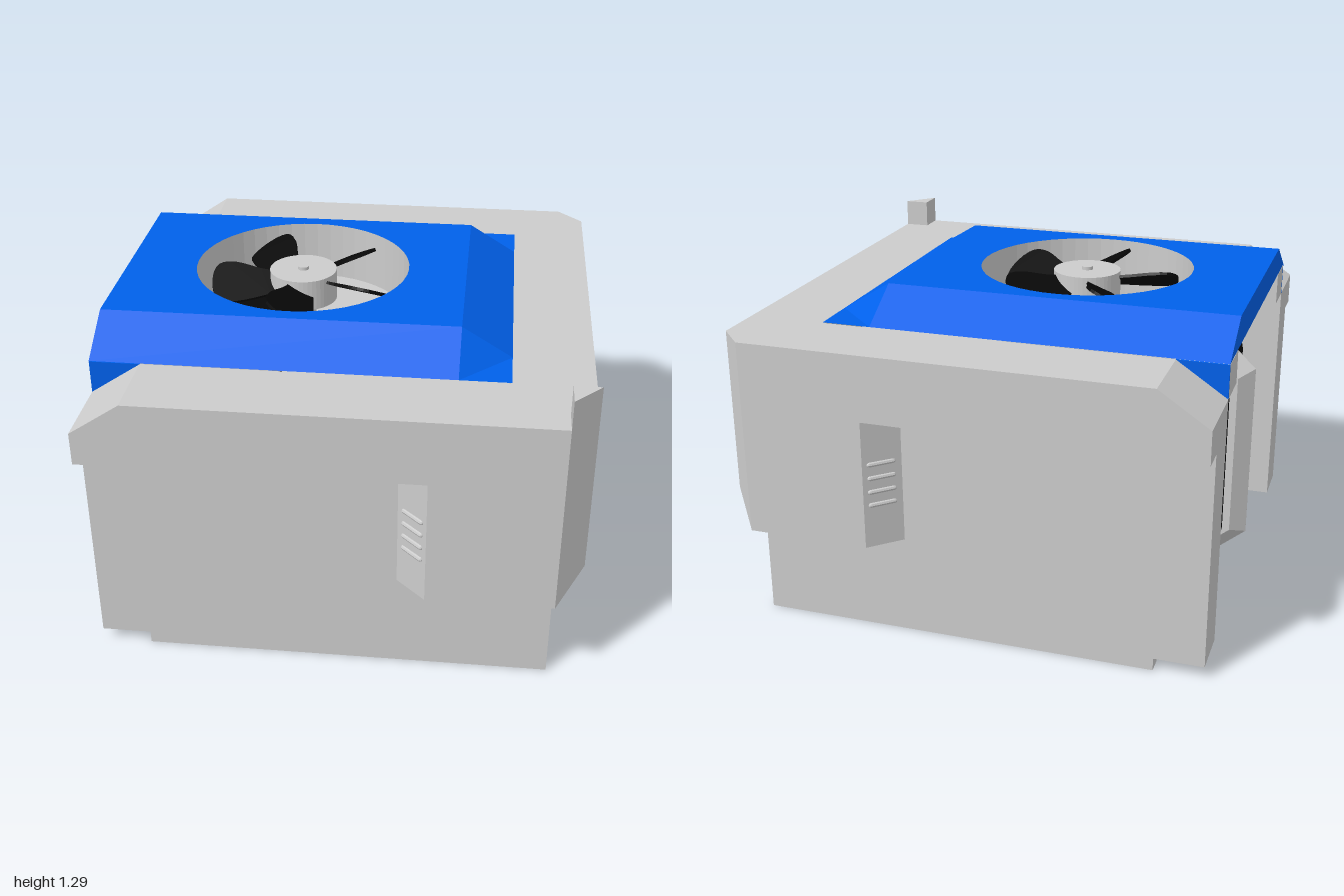
import * as THREE from 'three';

const material = (color) => new THREE.MeshStandardMaterial({ color, flatShading: true, side: THREE.DoubleSide });
const grey = material(0xcccccc), darkGrey = material(0x4c4c4c);
const blue = material(0x0060ea), black = material(0x080808);

const toShape = (pts) => new THREE.Shape(pts.map(([a, b]) => new THREE.Vector2(a, b)));

export function createModel() {
  const model = new THREE.Group();

  function add(name, geometry, mat = grey, parent = model) {
    const mesh = new THREE.Mesh(geometry, mat);
    mesh.name = name;
    parent.add(mesh);
    return mesh;
  }
  // Side profile (x, y) swept from z0 to z1
  function sideways(pts, z0, z1) {
    return new THREE.ExtrudeGeometry(toShape(pts), { depth: z1 - z0, bevelEnabled: false }).translate(0, 0, z0);
  }
  // Plan outline (x, z) swept from y0 to y1
  function upright(pts, y0, y1) {
    const shape = toShape(pts.map(([x, z]) => [x, -z]));
    return new THREE.ExtrudeGeometry(shape, { depth: y1 - y0, bevelEnabled: false })
      .rotateX(-Math.PI / 2).translate(0, y0, 0);
  }
  function block(x0, x1, y0, y1, z0, z1) {
    return new THREE.BoxGeometry(x1 - x0, y1 - y0, z1 - z0)
      .translate((x0 + x1) / 2, (y0 + y1) / 2, (z0 + z1) / 2);
  }
  // Same sweep on one side of the centre plane
  const sideSweep = (pts, s, a, b) => sideways(pts, Math.min(s * a, s * b), Math.max(s * a, s * b));

  // Lower body, with an undercut for the intake
  add('core', sideways([[-0.35, 0], [0.645, 0], [0.641, 0.012], [0.8, 0.13], [0.835, 0.13], [0.835, 0.91],
    [-0.35, 0.91]], -0.5, 0.5));
  add('ductFloor', block(-0.25, 0.64, 0.91, 1.05, -0.69, 0.69));

  // Sloped intake plate with five slots
  const plate = toShape([[-0.5, 0], [0.5, 0], [0.5, 0.222], [-0.5, 0.222]]);
  for (let i = -2; i <= 2; i++) {
    const c = i * 0.2;
    plate.holes.push(toShape([[c - 0.067, 0.035], [c - 0.067, 0.19], [c + 0.067, 0.19], [c + 0.067, 0.035]]));
  }
  const normal = new THREE.Vector3(0.585, -0.811, 0);
  const basis = new THREE.Matrix4().makeBasis(
    new THREE.Vector3(0, 0, -1), new THREE.Vector3(0.811, 0.585, 0), normal);
  add('intakePlate', new THREE.ExtrudeGeometry(plate, { depth: 0.015, bevelEnabled: false })
    .applyMatrix4(basis).translate(0.65 - normal.x * 0.015, -normal.y * 0.015, 0));

  for (const s of [1, -1]) {
    // Flared cheeks beside the intake
    add('intakeCheek', upright([[-0.35, s * 0.5], [0.65, s * 0.5], [0.83, s * 0.69], [-0.35, s * 0.69]], 0, 0.13));
    add('bodyFlank', block(-0.35, 0.835, 0.13, 0.91, s * 0.595 - 0.095, s * 0.595 + 0.095));

    // Long walls with a notch under the open end
    add('sideWall', sideSweep([[-0.945, 0.05], [-0.75, 0.05], [-0.75, 0], [0.835, 0], [0.835, 0.92],
      [-0.945, 0.92]], s, 0.69, 0.89));

    // Deck rails with a sloped end, and the brackets carrying the cover
    add('deckRail', sideSweep([[-0.945, 0.91], [0.84, 0.91], [0.84, 1.17], [-0.75, 1.17], [-0.945, 1.04]],
      s, 0.69, 1));
    add('coverBracket', sideSweep([[-0.945, 1.04], [-0.25, 1.04], [-0.25, 1.17], [-0.945, 1.17]], s, 0.52, 0.685));
    add('coverSkirt', sideSweep([[-0.945, 1.04], [-0.75, 1.17], [-0.945, 1.17]], s, 0.68, 0.692), blue);

    // Side panel with a slanted vented edge
    add('sidePanel', upright([[0.24, s * 0.89], [0.353, s], [0.84, s], [0.84, s * 0.89]], 0.395, 0.911));
    for (const y of [0.568, 0.622, 0.678, 0.734]) {
      const slot = add('ventSlot', new THREE.CapsuleGeometry(0.01, 0.095, 3, 8).rotateZ(Math.PI / 2));
      slot.position.set(0.299, y, s * 0.946);
      slot.rotation.y = -s * Math.PI / 4;
    }

    // Chamfered corner, its lower outer corner cut upward
    const corner = upright([[0.84, s * 0.89], [0.943, s * 0.89], [0.84, s]], 0.395, s > 0 ? 1.285 : 1.17);
    const p = corner.attributes.position;
    for (let i = 0; i < p.count; i++) if (p.getX(i) > 0.93 && p.getY(i) < 0.4) p.setY(i, 0.52);
    corner.computeVertexNormals();
    add(s > 0 ? 'cornerPost' : 'corner', corner);

    // Dark end panels, undercut at the base
    add('endPanel', sideSweep([[0.82, 0.39], [0.84, 0.39], [0.94, 0.52], [0.94, 0.912], [0.82, 0.912]],
      s, 0.1, 0.89), darkGrey);

    // Blunt wedge-shaped dark blocks inside the open end
    const wedge = toShape([[-0.82, -s * 0.105], [-0.82, -s * 0.21], [-0.42, -s * 0.53], [-0.28, -s * 0.53],
      [-0.28, -s * 0.105]]);
    add('innerBlock', new THREE.ExtrudeGeometry(wedge, {
      depth: 0.7, bevelThickness: 0.05, bevelSize: 0.035, bevelSegments: 3,
    }).rotateX(-Math.PI / 2).translate(0, 0.22, 0), black);
  }

  // Closed end of the deck and the centre channel between the dark panels
  add('deckEnd', block(0.63, 0.943, 0.91, 1.17, -0.89, 0.89));
  add('centreChannel', sideways([[0.82, 0.46], [0.84, 0.46], [0.885, 0.53], [0.885, 0.912], [0.82, 0.912]], -0.1, 0.1));

  // Centre rib with a ridged rim
  add('centreRib', new THREE.ExtrudeGeometry(
    toShape([[-0.885, 0.21], [-0.8, 0.14], [-0.3, 0.14], [-0.3, 0.97], [-0.8, 0.97], [-0.885, 0.89]]),
    { depth: 0.002, bevelThickness: 0.068, bevelSize: 0.06, bevelSegments: 1 }));

  // Bevelled cover with a round opening
  const cx = -0.23, radius = 0.435;
  function holedSheet(x1, z, y) {
    const sheet = toShape([[-0.945, -z], [x1, -z], [x1, z], [-0.945, z]]);
    sheet.holes.push(new THREE.Path().absarc(cx, 0, radius, 0, Math.PI * 2, true));
    return new THREE.ShapeGeometry(sheet, 24).rotateX(-Math.PI / 2).translate(0, y, 0);
  }
  add('coverTop', holedSheet(0.44, 0.495, 1.292), blue);
  add('coverUnderside', holedSheet(0.635, 0.692, 1.173), blue);
  // Sloped sides, with a diagonal facet at each closed corner
  const low = [[-0.945, 0.692], [0.44, 0.692], [0.635, 0.495], [0.635, -0.495], [0.44, -0.692], [-0.945, -0.692]];
  const high = [[-0.945, 0.495], [0.44, 0.495], [0.44, 0.495], [0.44, -0.495], [0.44, -0.495], [-0.945, -0.495]];
  const faces = [];
  for (let i = 0; i < low.length; i++) {
    const j = (i + 1) % low.length;
    const a = [low[i][0], 1.173, low[i][1]], b = [low[j][0], 1.173, low[j][1]];
    const c = [high[j][0], 1.292, high[j][1]], d = [high[i][0], 1.292, high[i][1]];
    faces.push(...a, ...b, ...c);
    if (high[i] !== high[j] && (c[0] !== d[0] || c[2] !== d[2])) faces.push(...a, ...c, ...d);
  }
  const bevels = new THREE.BufferGeometry();
  bevels.setAttribute('position', new THREE.Float32BufferAttribute(faces, 3));
  bevels.computeVertexNormals();
  add('coverBevels', bevels, blue);

  // Fan in its duct
  const fan = new THREE.Group();
  fan.name = 'fan';
  fan.position.set(cx, 0, 0);
  model.add(fan);
  const drum = (r, y0, y1, open = false) =>
    new THREE.CylinderGeometry(r, r, y1 - y0, 48, 1, open).translate(0, (y0 + y1) / 2, 0);
  add('duct', drum(radius, 1.04, 1.292, true), grey, fan);
  add('hub', drum(0.137, 1.15, 1.275), grey, fan);
  add('axle', drum(0.05, 1.04, 1.16), grey, fan);
  add('hubCap', drum(0.023, 1.27, 1.288), grey, fan);
  const blade = new THREE.Shape();
  blade.moveTo(0.11, -0.05);
  blade.bezierCurveTo(0.2, -0.06, 0.24, -0.12, 0.32, -0.11);
  blade.bezierCurveTo(0.38, -0.1, 0.39, 0.04, 0.36, 0.08);
  blade.bezierCurveTo(0.32, 0.11, 0.2, 0.08, 0.11, 0.06);
  for (let i = 0; i < 5; i++) {
    const mesh = add('blade', new THREE.ExtrudeGeometry(blade, { depth: 0.012, bevelEnabled: false, curveSegments: 8 })
      .rotateX(-Math.PI / 2 - 0.5), black, fan);
    mesh.position.y = 1.225;
    mesh.rotation.y = -THREE.MathUtils.degToRad(20 + 72 * i);
  }
  return model;
}
